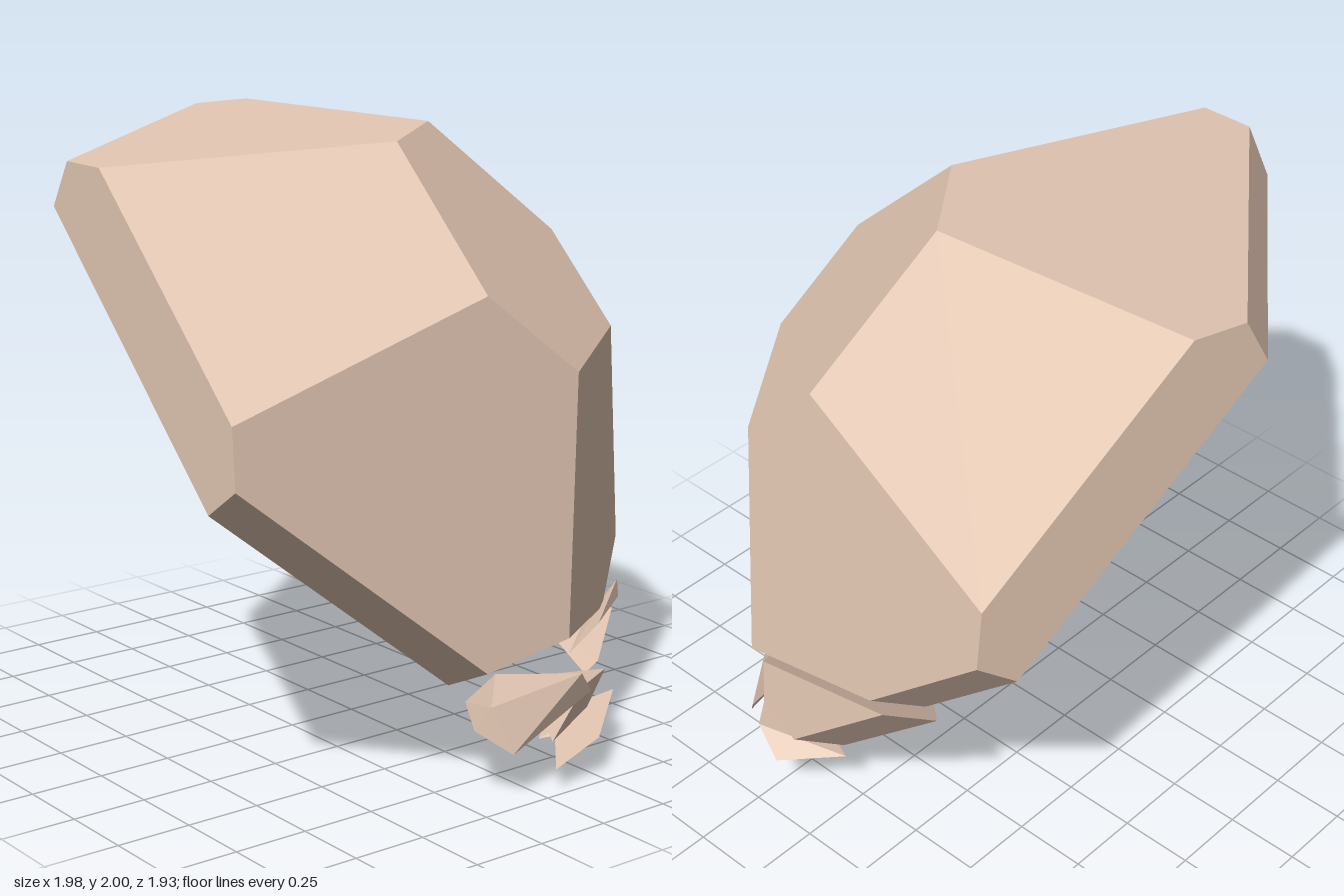
import * as THREE from 'three';
import { ConvexGeometry } from 'three/addons/geometries/ConvexGeometry.js';

const V = (x, y, z) => new THREE.Vector3(x, y, z);

// Tilted axis of the stone, and two directions across it
const axis = V(0.433, 0.659, 0.616).normalize();
const across = V(-0.894, 0.34, 0.28).addScaledVector(axis, -V(-0.894, 0.34, 0.28).dot(axis)).normalize();
const side = new THREE.Vector3().crossVectors(axis, across);
const base = V(0.31, 1.623, 0.432).addScaledVector(axis, -1.467);

// Side profiles [radius, height along the axis]: table edge, girdle, culet edge
const wideProfile = [[0.425, 1.467], [1.131, 0.86], [1.005, 0.596], [0.61, 0.456]];
const narrowProfile = [[0.483, 1.467], [1.083, 0.746], [1.015, 0.596], [0.645, 0.456]];

const plane = (normal, point) => {
  const n = normal.clone().normalize();
  return { n, d: n.dot(point) };
};

function gemPlanes() {
  const planes = [
    plane(axis, base.clone().addScaledVector(axis, 1.467)),
    plane(axis.clone().negate(), base.clone().addScaledVector(axis, 0.456)),
  ];
  for (let k = 0; k < 6; k++) {
    const a = (k * Math.PI) / 3;
    const dir = across.clone().multiplyScalar(Math.cos(a)).addScaledVector(side, Math.sin(a));
    const profile = k % 2 ? narrowProfile : wideProfile;
    for (let i = 0; i < 3; i++) {
      const [r0, h0] = profile[i], [r1, h1] = profile[i + 1];
      const normal = dir.clone().multiplyScalar(h0 - h1).addScaledVector(axis, r1 - r0);
      planes.push(plane(normal, base.clone().addScaledVector(dir, r0).addScaledVector(axis, h0)));
    }
  }
  return planes;
}

// Solid kept by a set of cutting planes: every corner where three planes meet
function cutSolid(planes) {
  const corners = [];
  const c = () => new THREE.Vector3();
  for (let i = 0; i < planes.length; i++)
    for (let j = i + 1; j < planes.length; j++)
      for (let k = j + 1; k < planes.length; k++) {
        const [p, q, r] = [planes[i], planes[j], planes[k]];
        const qr = c().crossVectors(q.n, r.n);
        const det = p.n.dot(qr);
        if (Math.abs(det) < 1e-5) continue;
        const pt = qr.multiplyScalar(p.d)
          .addScaledVector(c().crossVectors(r.n, p.n), q.d)
          .addScaledVector(c().crossVectors(p.n, q.n), r.d)
          .divideScalar(det);
        if (planes.some((s) => s.n.dot(pt) > s.d + 1e-6)) continue;
        if (!corners.some((o) => o.distanceTo(pt) < 1e-3)) corners.push(pt);
      }
  return new ConvexGeometry(corners);
}

// Loose splinters, each the hull of a few corners
const splinters = [
  [[-0.15, 0.3, 0.9], [-0.2, 0.23, 0.88], [-0.1, 0.15, 0.95], [0.17, 0.36, 0.96], [0.24, 0.28, 0.93], [0, 0.2, 0.6], [0.1, 0.28, 0.63]],
  [[0.07, 0.15, 0.94], [0.24, 0.29, 0.9], [0.5, 0.24, 0.72], [0.3, 0.19, 0.85], [0.3, 0.21, 0.56]],
  [[0.06, 0.07, 0.97], [0.25, 0.13, 0.96], [0.52, 0.17, 0.74], [0.47, 0.09, 0.72], [0.35, 0.1, 0.64]],
  [[0.55, 0.17, 0.57], [0.62, 0.2, 0.56], [0.93, 0.26, 0.3], [0.95, 0.17, 0.2], [0.8, 0.2, 0.02], [0.6, 0.16, 0.5]],
  [[0.32, 0, 0.6], [0.47, 0.09, 0.68], [0.6, 0.06, 0.58], [0.4, 0.01, 0.53], [0.4, 0.05, 0.73]],
  [[0.45, 0.27, 0.6], [0.6, 0.34, 0.58], [0.95, 0.36, 0.3], [0.93, 0.31, 0.33], [0.7, 0.28, 0.4]],
];

export function createModel() {
  const group = new THREE.Group();
  group.name = 'brokenGem';
  const material = new THREE.MeshStandardMaterial({ color: 0xe2c6b2, flatShading: true });
  const add = (name, geometry) => {
    const mesh = new THREE.Mesh(geometry, material);
    mesh.name = name;
    group.add(mesh);
    return mesh;
  };

  // Faceted stone with its lower edge broken away along two fractures
  const facets = gemPlanes();
  const frontFracture = plane(V(0.137, -0.907, 0.398), V(0.17, 0.47, 0.92));
  const sideFracture = plane(V(0.485, -0.842, -0.237), V(0.9, 0.55, 0.35));
  add('gem', cutSolid([...facets, frontFracture, sideFracture]));

  // Large flake that slipped off the side fracture
  const flip = (p) => ({ n: p.n.clone().negate(), d: -p.d });
  const flakeEnd = plane(V(-1, 0, 1), V(0.6, 0, 0.38));
  add('flake', cutSolid([...facets, flip(sideFracture), flakeEnd])).position.set(-0.02, -0.055, -0.03);

  // Splinters below the break
  splinters.forEach((points, i) => {
    add(`splinter${i + 1}`, new ConvexGeometry(points.map((p) => V(...p))));
  });
  return group;
}
